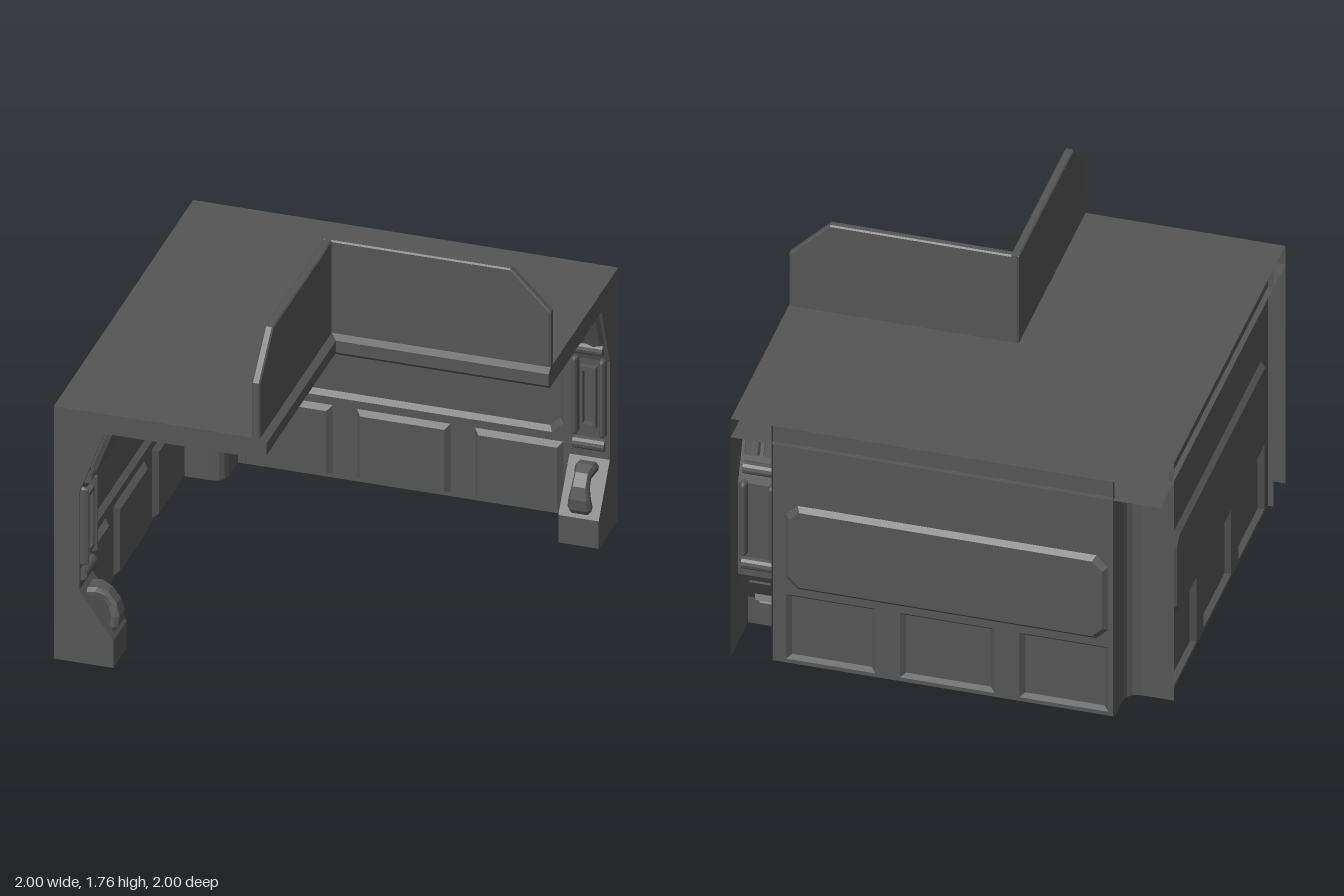
import * as THREE from 'three';

const material = new THREE.MeshStandardMaterial({ color: 0x555555, flatShading: true, side: THREE.DoubleSide });

function add(parent, name, geometry) {
  const mesh = new THREE.Mesh(geometry, material);
  mesh.name = name;
  parent.add(mesh);
  return mesh;
}

const toShape = (pts) => new THREE.Shape(pts.map(([a, b]) => new THREE.Vector2(a, b)));

// Quads between successive rings of [x, y, z] points
function loft(rings, closed = false) {
  const pos = [], n = rings[0].length;
  for (let i = 0; i + 1 < rings.length; i++) {
    for (let j = 0; j < (closed ? n : n - 1); j++) {
      const k = (j + 1) % n;
      const a = rings[i][j], b = rings[i][k], c = rings[i + 1][k], d = rings[i + 1][j];
      pos.push(...a, ...b, ...c, ...a, ...c, ...d);
    }
  }
  const g = new THREE.BufferGeometry();
  g.setAttribute('position', new THREE.Float32BufferAttribute(pos, 3));
  g.computeVertexNormals();
  return g;
}

// Flat side outline given as [z, y], placed at x
function sideFace(pts, x) {
  return new THREE.ShapeGeometry(toShape(pts)).rotateY(-Math.PI / 2).translate(x, 0, 0);
}

// Rectangle with cut corners, counter-clockwise
function cutRect(x0, x1, y0, y1, c) {
  if (c === 0) return [[x0, y0], [x1, y0], [x1, y1], [x0, y1]];
  return [[x0 + c, y0], [x1 - c, y0], [x1, y0 + c], [x1, y1 - c],
    [x1 - c, y1], [x0 + c, y1], [x0, y1 - c], [x0, y0 + c]];
}

const WALL = -0.975, RIB = 0.81, SOFFIT = 1.19, TOP = 1.29;
const ribProfile = [[-0.72, 0], [-0.72, 0.14], [-0.88, 0.37], [-0.88, 0.87], [-0.76, SOFFIT]];
const trimProfile = [[-0.02, SOFFIT], [0, 1.21], [0, 1.27], [-0.03, TOP]];

function makeWall(arm) {
  const wall = toShape(cutRect(-0.78, RIB, 0, TOP, 0));
  const panels = [{ name: 'largePanel', r: [-0.75, 0.75, 0.41, 0.86], c: 0.055, inset: 0.022, low: 0.022, depth: -0.023 }];
  for (const [x0, x1] of [[-0.75, -0.335], [-0.22, 0.22], [0.335, 0.75]]) {
    panels.push({ name: 'lowerPanel', r: [x0, x1, 0.02, 0.37], c: 0, inset: 0.022, low: 0.014, depth: 0.025 });
  }
  for (const { name, r: [x0, x1, y0, y1], c, inset: i, low, depth } of panels) {
    const outer = cutRect(x0, x1, y0, y1, c);
    const inner = cutRect(x0 + i, x1 - i, y0 + low, y1 - i, c * 0.85);
    wall.holes.push(new THREE.Path(outer.map(([x, y]) => new THREE.Vector2(x, y))));
    const at = (pts, z) => pts.map(([x, y]) => [x, y, z]);
    add(arm, name + 'Bevel', loft([at(outer, WALL), at(inner, WALL + depth)], true));
    add(arm, name, new THREE.ShapeGeometry(toShape(inner)).translate(0, 0, WALL + depth));
  }
  add(arm, 'wall', new THREE.ShapeGeometry(wall).translate(0, 0, WALL));
  // Narrow returns on the back of the wall ends
  for (const x of [-0.78, RIB]) {
    add(arm, 'wallReturn', sideFace([[-1, 0], [WALL, 0], [WALL, TOP], [-1, TOP]], x));
  }
}

function makeRib(arm) {
  const mid = (RIB + 1) / 2;
  // Shell of the end rib
  add(arm, 'ribFace', loft([RIB, 1].map((x) => ribProfile.map(([z, y]) => [x, y, z]))));
  add(arm, 'ribInnerSide', sideFace([[WALL, 0], ...ribProfile, [WALL, SOFFIT]], RIB));
  add(arm, 'endCap', sideFace([[-1, 0], ...ribProfile, ...trimProfile, [-1, TOP]], 1));

  // Round cross bars
  for (const [y, z] of [[0.44, -0.88], [0.94, -0.856]]) {
    add(arm, 'crossBar', new THREE.CylinderGeometry(0.03, 0.03, 0.15, 12).rotateZ(Math.PI / 2).translate(mid, y, z));
  }
  // Upright rods and the framed plate between them
  for (const x of [-0.065, 0.065]) {
    add(arm, 'uprightRod', new THREE.CapsuleGeometry(0.016, 0.37, 4, 10).scale(1, 1, 2.3).translate(mid + x, 0.685, -0.88));
  }
  const frame = toShape(cutRect(-0.037, 0.037, 0.53, 0.84, 0));
  frame.holes.push(toShape(cutRect(-0.025, 0.025, 0.55, 0.82, 0)));
  add(arm, 'plateFrame', new THREE.ExtrudeGeometry(frame, { depth: 0.03, bevelEnabled: false }).translate(mid, 0, -0.882));

  // Padded ribs on the upper slope
  for (const x of [-0.044, 0.044]) {
    const pad = add(arm, 'slopePad', new THREE.CylinderGeometry(0.04, 0.04, 0.2, 8).scale(1, 1, 0.8));
    pad.position.set(mid + x, 1.088, -0.79);
    pad.rotation.x = Math.atan2(0.12, 0.32);
  }

  // Arched handle over the foot: outer z, y, inner z, y, half width
  const arch = [
    [-0.86, 0.36, -0.86, 0.32, 0.05], [-0.815, 0.368, -0.825, 0.328, 0.05],
    [-0.765, 0.348, -0.785, 0.313, 0.038], [-0.725, 0.295, -0.76, 0.28, 0.04],
    [-0.71, 0.235, -0.745, 0.235, 0.05], [-0.715, 0.18, -0.75, 0.19, 0.056],
    [-0.745, 0.135, -0.765, 0.16, 0.048],
  ];
  add(arm, 'footArch', loft(arch.map(([oz, oy, iz, iy, w]) => {
    const sy = (oy + iy) / 2, sz = (oz + iz) / 2;
    return [[mid - w, iy, iz], [mid - w, sy, sz], [mid - w * 0.75, oy, oz],
      [mid + w * 0.75, oy, oz], [mid + w, sy, sz], [mid + w, iy, iz]];
  }), true));
}

function makeArm(name) {
  const arm = new THREE.Group();
  arm.name = name;
  makeWall(arm);
  makeRib(arm);
  // Mitred trim along the canopy edge
  add(arm, 'canopyTrim', loft([trimProfile.map(([z, y]) => [z, y, z]), trimProfile.map(([z, y]) => [1, y, z])]));
  // Upright board with a cut outer corner and fine bevelled edges
  const board = toShape([[-0.07, TOP - 0.01], [1, TOP - 0.01], [1, 1.57], [0.81, 1.76], [-0.07, 1.76]]);
  const bevel = { depth: 0.026, bevelThickness: 0.007, bevelSize: 0.007, bevelOffset: -0.007, bevelSegments: 1 };
  add(arm, 'uprightBoard', new THREE.ExtrudeGeometry(board, bevel).translate(0, 0, -0.063));
  return arm;
}

// L-shaped horizontal sheet
function canopySheet(edge, y) {
  const pts = [[-1, -1], [edge, -1], [edge, -edge], [1, -edge], [1, 1], [-1, 1]];
  return new THREE.ShapeGeometry(toShape(pts)).rotateX(-Math.PI / 2).translate(0, y, 0);
}

export function createModel() {
  const model = new THREE.Group();
  model.name = 'cornerBooth';

  model.add(makeArm('backArm'));
  // Second arm: x and z exchanged
  const sideArm = makeArm('sideArm');
  sideArm.scale.x = -1;
  sideArm.rotation.y = Math.PI / 2;
  model.add(sideArm);

  add(model, 'canopyTop', canopySheet(-0.03, TOP));
  add(model, 'canopySoffit', canopySheet(-0.02, SOFFIT));

  // Corner column, open at the back
  const column = [[WALL, -0.78], [-0.85, -0.78], [-0.81, -0.79], [-0.79, -0.81], [-0.78, -0.85], [-0.78, WALL]];
  add(model, 'cornerColumn', loft([0, SOFFIT].map((y) => column.map(([x, z]) => [x, y, z]))));
  return model;
}
